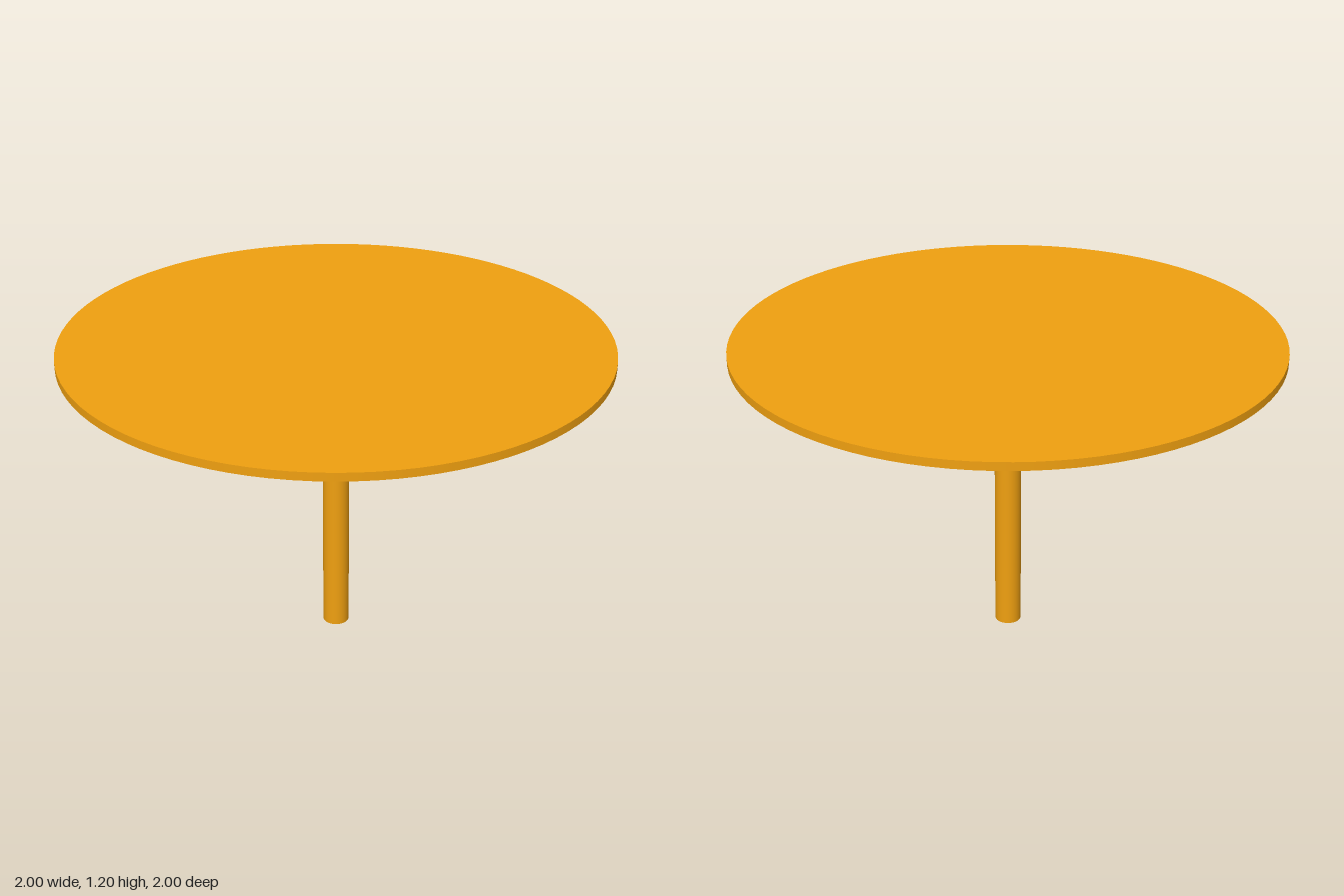
import * as THREE from 'three';

const TOP_HEIGHT = 1.2;
const TOP_THICKNESS = 0.03;

export function createModel() {
  const model = new THREE.Group();
  model.name = 'pedestalTable';
  const material = new THREE.MeshStandardMaterial({ color: 0xf0a010 });

  // Upright disc or post standing on height y
  const addCylinder = (name, radius, height, y, sides) => {
    const geometry = new THREE.CylinderGeometry(radius, radius, height, sides);
    const mesh = new THREE.Mesh(geometry, material);
    mesh.name = name;
    mesh.position.y = y + height / 2;
    model.add(mesh);
  };

  // Thin round top on a single central leg
  const legHeight = TOP_HEIGHT - TOP_THICKNESS;
  addCylinder('tableTop', 1, TOP_THICKNESS, legHeight, 96);
  addCylinder('leg', 0.05, legHeight, 0, 48);

  return model;
}
